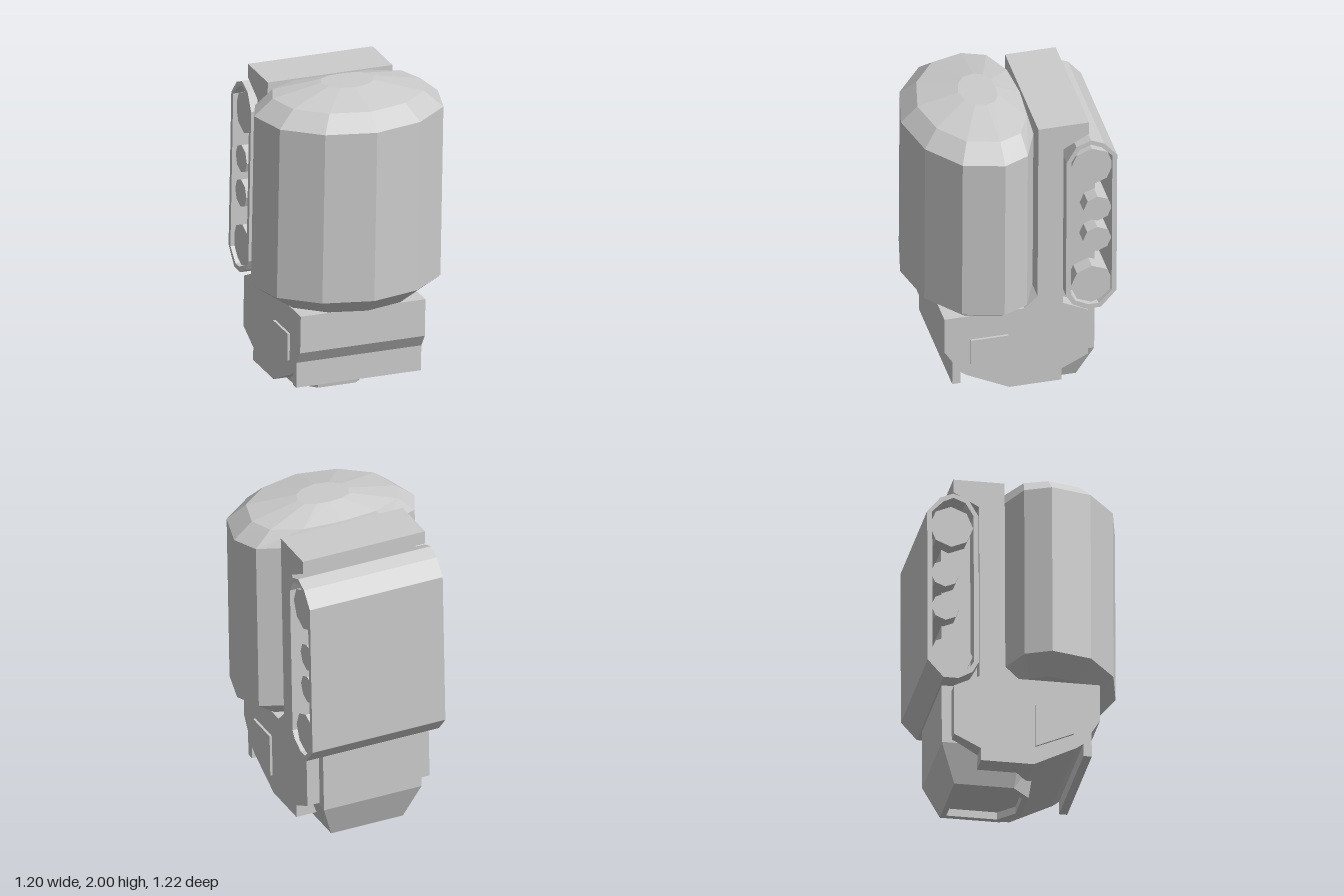
import * as THREE from 'three';

const grey = () => new THREE.MeshStandardMaterial({ color: 0xcccccc, flatShading: true });

function addMesh(parent, name, geometry) {
  const mesh = new THREE.Mesh(geometry, grey());
  mesh.name = name;
  parent.add(mesh);
  return mesh;
}

// Side profile of [z, y] points, extruded along x and centred on x = 0
function slab(profile, width, hole) {
  const shape = new THREE.Shape(profile.map(([z, y]) => new THREE.Vector2(z, y)));
  if (hole) shape.holes.push(new THREE.Path(hole.map(([z, y]) => new THREE.Vector2(z, y))));
  const g = new THREE.ExtrudeGeometry(shape, { depth: width, bevelEnabled: false });
  return g.rotateY(-Math.PI / 2).translate(width / 2, 0, 0);
}

// Skin over stacked rings of [x, y, z] points, closed at both ends
function loft(rings) {
  const pos = [], n = rings[0].length;
  const tri = (a, b, c) => pos.push(...a, ...b, ...c);
  for (let r = 0; r < rings.length - 1; r++) {
    const lo = rings[r], hi = rings[r + 1];
    for (let i = 0; i < n; i++) {
      const j = (i + 1) % n;
      tri(lo[i], lo[j], hi[j]);
      tri(lo[i], hi[j], hi[i]);
    }
  }
  const first = rings[0], last = rings[rings.length - 1];
  for (let i = 1; i < n - 1; i++) {
    tri(first[0], first[i + 1], first[i]);
    tri(last[0], last[i], last[i + 1]);
  }
  const g = new THREE.BufferGeometry();
  g.setAttribute('position', new THREE.Float32BufferAttribute(pos, 3));
  g.computeVertexNormals();
  return g;
}

export function createModel() {
  const model = new THREE.Group();
  model.name = 'model';
  // Everything leans very slightly to one side
  const unit = new THREE.Group();
  unit.name = 'unit';
  unit.rotation.z = -0.018;
  unit.position.x = -0.023;
  model.add(unit);

  // Faceted tank: twelve-sided plan, flatter at the back
  const half = [[0, 0.61], [0.305, 0.54], [0.525, 0.365], [0.59, 0.12], [0.52, -0.035], [0.3, -0.125], [0, -0.145]];
  const plan = [...half, ...half.slice(1, -1).reverse().map(([x, z]) => [-x, z])];
  const ring = (y, sx, front, back) => plan.map(([x, z]) => {
    const d = z - 0.13;
    return [x * sx, y, 0.13 + d * (d > 0 ? front : back)];
  });
  addMesh(unit, 'tank', loft([
    ring(0.655, 0.76, 0.79, 0.68),
    ring(0.755, 1, 1, 1),
    ring(1.835, 1, 1, 1),
    ring(1.932, 0.8, 0.79, 0.9),
    ring(1.993, 0.28, 0.27, 0.36),
  ]));

  // Main body: foot block, upright back and overhanging top
  addMesh(unit, 'body', slab([
    [0.44, 0.645], [0.44, 0.41], [0.39, 0.33], [0.39, 0.17], [0.34, 0.17], [0.34, 0.25],
    [0.3, 0.22], [0.04, 0.09], [-0.28, 0.09], [-0.28, 0.17], [-0.44, 0.25], [-0.44, 0.57],
    [-0.285, 0.645], [-0.285, 1.76], [-0.44, 1.845], [-0.44, 1.928], [-0.13, 1.928],
    [-0.13, 0.72], [-0.05, 0.645],
  ], 0.8));

  // Raised panel on both sides of the foot
  addMesh(unit, 'sidePanels', slab([[0.28, 0.475], [0.28, 0.305], [0.05, 0.205], [0.05, 0.475]], 0.83));

  // Core that carries the belt
  addMesh(unit, 'core', slab([[-0.2, 1.73], [-0.5, 1.73], [-0.5, 0.5], [-0.2, 0.5]], 0.64));

  // Tapered outlet below the core with a shallow hollow underneath
  const foot = [[0.12, 0.06], [0.235, -0.05], [0.235, -0.41], [-0.235, -0.41], [-0.235, -0.05], [-0.12, 0.06]];
  const footRing = (y, sx, sz) => foot.map(([x, z]) => [x * sx, y, -0.19 + (z + 0.19) * sz]);
  const wide = (y) => foot.map(([x, z]) => [x * 1.36, y, z < -0.4 ? -0.5 : z + 0.03]);
  addMesh(unit, 'outlet', loft([
    footRing(0.05, 0.85, 0.85), footRing(0.003, 0.85, 0.85), footRing(0.003, 1, 1), wide(0.23), wide(0.56),
  ]));

  // Belt loop, open at both sides
  const belt = (t) => [
    [-0.295 - t, 1.68], [-0.355 - t * 0.6, 1.785 - t * 0.8], [-0.445, 1.82 - t], [-0.525 + t * 0.6, 1.785 - t * 0.8],
    [-0.605 + t, 1.69], [-0.605 + t, 0.71], [-0.51 + t * 0.5, 0.603 + t], [-0.42 - t * 0.5, 0.603 + t],
    [-0.335 - t * 0.6, 0.65 + t * 0.8], [-0.295 - t, 0.72],
  ];
  addMesh(unit, 'belt', slab(belt(0), 0.87, belt(0.03)));

  // Rollers inside the belt: [z, y, radius, sides]
  [[-0.455, 1.61, 0.132, 8], [-0.493, 1.3, 0.087, 8], [-0.491, 1.08, 0.087, 8], [-0.46, 0.76, 0.13, 8]]
    .forEach(([z, y, r, sides], i) => {
      const g = new THREE.CylinderGeometry(r, r, 0.82, sides).rotateZ(Math.PI / 2);
      addMesh(unit, 'roller' + (i + 1), g).position.set(0, y, z);
    });

  return model;
}
